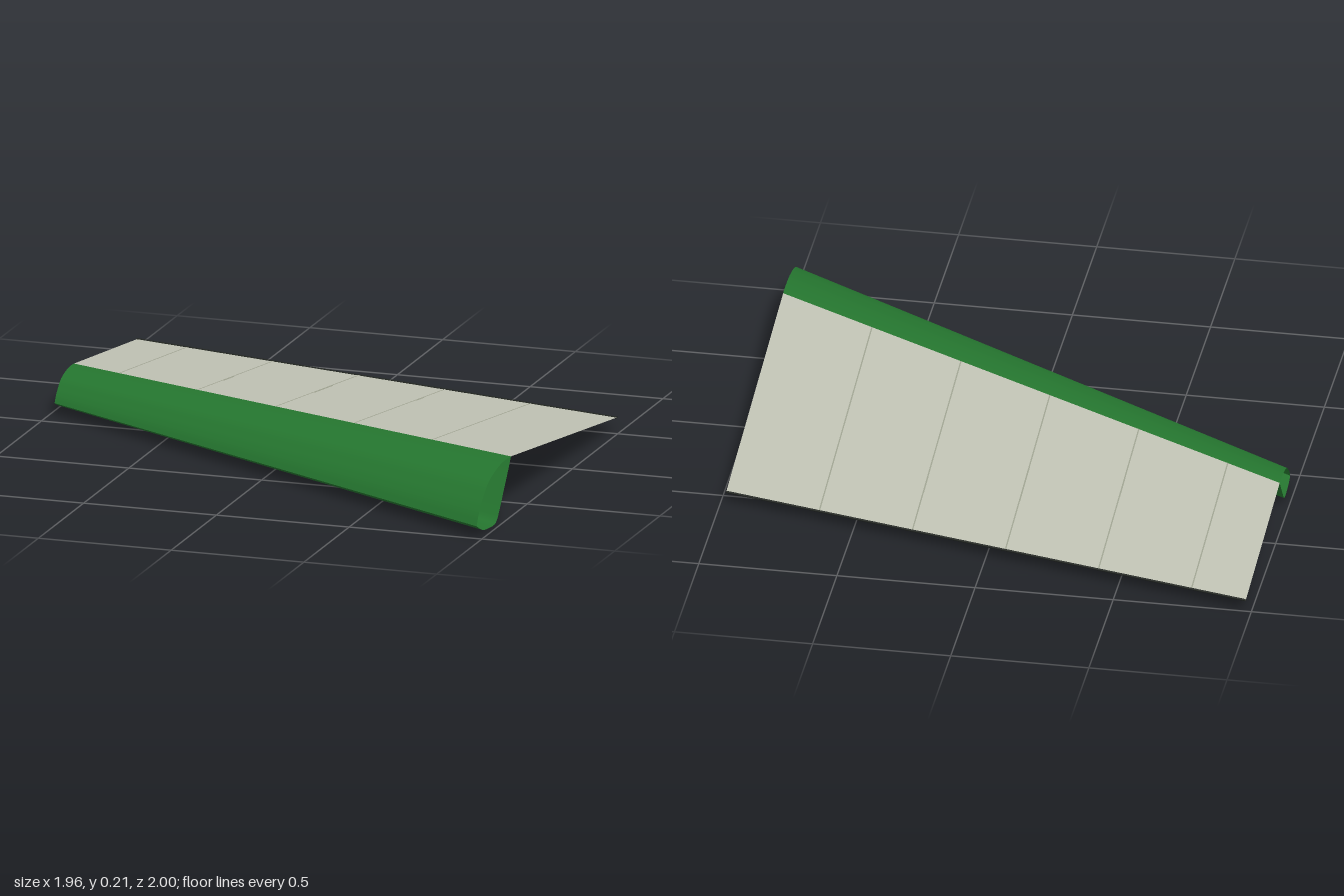
import * as THREE from 'three';

const HALF = 0.98;        // half span
const BASE = 0.045;       // height of the leading and trailing edges
const along = (x) => (HALF - x) / (2 * HALF);   // 0 at the wide end, 1 at the narrow end

// Point of the tapered nose section: d behind the leading edge, h above it
function nosePoint(x, d, h) {
  const t = along(x), s = 1 - 0.434 * t;
  return new THREE.Vector3(x, BASE + h * s, 1 - 1.087 * t - d * s);
}
const sparTop = (x) => nosePoint(x, 0.38, 0.16);
const trailing = (x) => new THREE.Vector3(x, BASE, -0.55 - 0.45 * along(x));

// Surface through rows of points, rows running from the wide to the narrow end
function loft(rows) {
  const n = rows[0].length, index = [];
  for (let j = 0; j < rows.length - 1; j++) {
    for (let i = 0; i < n - 1; i++) {
      const a = j * n + i, b = a + n;
      index.push(a, a + 1, b, a + 1, b + 1, b);
    }
  }
  const g = new THREE.BufferGeometry().setFromPoints(rows.flat());
  g.setIndex(index);
  g.computeVertexNormals();
  return g;
}

export function createModel() {
  const wing = new THREE.Group();
  wing.name = 'wing';
  const material = (name, color) => {
    const m = new THREE.MeshStandardMaterial({ color, side: THREE.DoubleSide });
    m.name = name;
    return m;
  };
  const green = material('green skin', 0x25762f);
  const cloth = material('pale fabric', 0xc0c2b4);
  const seamGrey = material('seam grey', 0x9fa391);
  const dark = material('dark edging', 0x20241f);
  const add = (name, geometry, mat) => {
    const mesh = new THREE.Mesh(geometry, mat);
    mesh.name = name;
    wing.add(mesh);
  };

  // Open, hollow nose: curved top skin, then rear web and belly
  const skin = (profile) => {
    const pts = new THREE.SplineCurve(profile.map(([d, h]) => new THREE.Vector2(d, h))).getPoints(24);
    return loft([HALF, 0, -HALF].map((x) => pts.map((p) => nosePoint(x, p.x, p.y))));
  };
  add('noseTopSkin', skin([[0, 0], [0.025, 0.04], [0.07, 0.085], [0.134, 0.13],
    [0.24, 0.157], [0.32, 0.163], [0.38, 0.16]]), green);
  add('noseWebAndBelly', skin([[0.38, 0.16], [0.34, 0.105], [0.3, 0.055], [0.257, 0],
    [0.215, -0.041], [0.15, -0.043], [0.07, -0.032], [0, 0]]), green);

  // Single fabric sheet from spar to trailing edge
  add('fabricSheet', loft([HALF, -HALF].map((x) => [sparTop(x), trailing(x)])), cloth);

  // Chordwise seams, on both faces of the sheet
  const seamWidth = 0.005;
  for (let i = 1; i <= 5; i++) {
    const x = HALF - 0.351 * i;
    for (const lift of [0.0012, -0.0012]) {
      const strip = loft([x + seamWidth / 2, x - seamWidth / 2].map((e) => [sparTop(e), trailing(e)]));
      add('seam', strip.translate(0, lift, 0), seamGrey);
    }
  }

  // Dark cord in the trailing edge
  const edge = new THREE.LineCurve3(trailing(HALF), trailing(-HALF));
  add('trailingEdgeCord', new THREE.TubeGeometry(edge, 1, 0.004, 8), dark);

  return wing;
}
